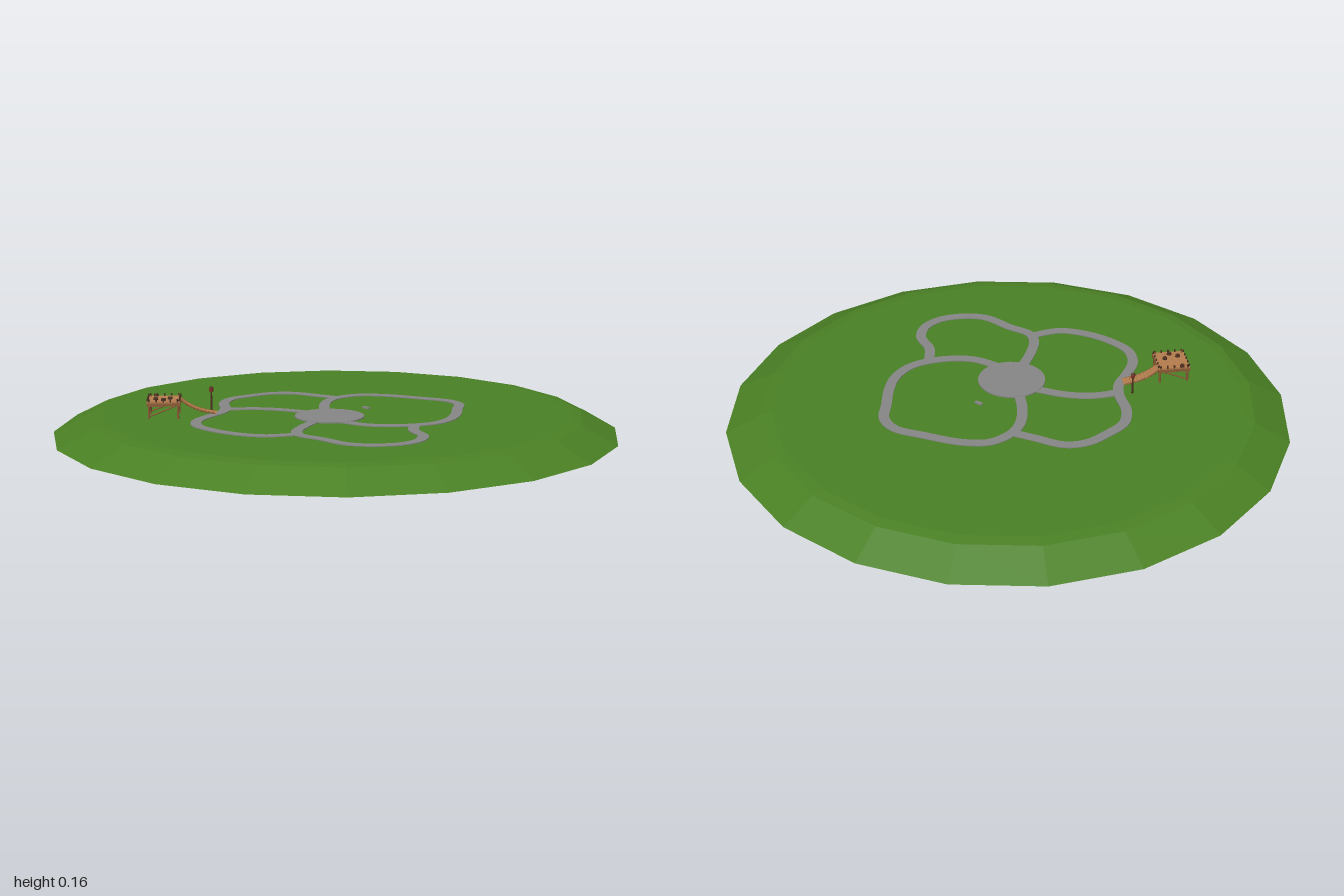
import * as THREE from 'three';

const mat = (name, color) => {
  const m = new THREE.MeshStandardMaterial({ color });
  m.name = name;
  return m;
};

export function createModel() {
  const model = new THREE.Group();
  model.name = 'parkIsland';

  const grass = mat('grass', 0x4a8024);
  grass.side = THREE.DoubleSide;
  grass.flatShading = true;
  const stone = mat('stone', 0x858585);
  const plank = mat('plank', 0xb47c4c);
  const timber = mat('timber', 0x8a5a34);
  const darkWood = mat('darkWood', 0x4c3020);
  const red = mat('redPaint', 0x7a3024);

  const add = (parent, name, geometry, material, x = 0, y = 0, z = 0) => {
    const mesh = new THREE.Mesh(geometry, material);
    mesh.name = name;
    mesh.position.set(x, y, z);
    parent.add(mesh);
    return mesh;
  };
  // Straight beam between two points
  const beam = (parent, name, a, b, radius, material) => {
    const from = new THREE.Vector3(...a), to = new THREE.Vector3(...b);
    const dir = to.clone().sub(from);
    const mesh = add(parent, name, new THREE.CylinderGeometry(radius, radius, dir.length(), 6), material);
    mesh.position.copy(from).add(to).multiplyScalar(0.5);
    mesh.quaternion.setFromUnitVectors(new THREE.Vector3(0, 1, 0), dir.normalize());
    return mesh;
  };

  // Low twenty-sided mound, open underneath
  const apothem = Math.cos(Math.PI / 20);
  const profile = [[1, 0], [0.875, 0.064], [0.835, 0.0705], [0, 0.0705]]
    .map(([r, y]) => new THREE.Vector2(r / apothem, y));
  add(model, 'grassMound', new THREE.LatheGeometry(profile, 20, Math.PI / 20), grass);

  // Round plaza, its slab reaching just below the turf
  add(model, 'plaza', new THREE.CylinderGeometry(0.123, 0.123, 0.008, 32), stone, 0.027, 0.0712, 0.112);

  // Winding paths: centre lines as x, z pairs
  const paths = {
    backRightPath: [[-0.03, 0.03], [-0.075, -0.06], [-0.1, -0.15], [-0.095, -0.22], [-0.045, -0.3], [0.045, -0.335],
      [0.19, -0.34], [0.3, -0.335], [0.36, -0.29], [0.39, -0.2], [0.422, -0.1], [0.433, -0.01], [0.41, 0.075],
      [0.35, 0.14], [0.27, 0.185], [0.2, 0.2], [0.11, 0.185]],
    leftPath: [[-0.095, -0.22], [-0.18, -0.225], [-0.29, -0.23], [-0.36, -0.19], [-0.41, -0.11], [-0.443, -0.03],
      [-0.425, 0.06], [-0.375, 0.14], [-0.352, 0.21], [-0.358, 0.3], [-0.355, 0.38], [-0.315, 0.455],
      [-0.235, 0.5], [-0.13, 0.523], [-0.03, 0.513], [0.03, 0.472], [0.06, 0.44]],
    middlePath: [[-0.07, 0.08], [-0.18, 0.08], [-0.27, 0.1], [-0.34, 0.14], [-0.372, 0.17]],
    frontPath: [[0.021, 0.21], [0.025, 0.32], [0.04, 0.4], [0.075, 0.45], [0.165, 0.473], [0.275, 0.51],
      [0.355, 0.495], [0.435, 0.44], [0.47, 0.365], [0.455, 0.285], [0.395, 0.22], [0.36, 0.13]],
  };
  for (const [name, pts] of Object.entries(paths)) {
    const curve = new THREE.CatmullRomCurve3(pts.map(([x, z]) => new THREE.Vector3(x, 0, z)));
    const left = [], right = [], n = pts.length * 4;
    for (let i = 0; i <= n; i++) {
      const p = curve.getPointAt(i / n), t = curve.getTangentAt(i / n).multiplyScalar(0.019);
      left.push(new THREE.Vector2(p.x + t.z, -(p.z - t.x)));
      right.unshift(new THREE.Vector2(p.x - t.z, -(p.z + t.x)));
    }
    const geo = new THREE.ExtrudeGeometry(new THREE.Shape([...left, ...right]), { depth: 0.003, bevelEnabled: false });
    geo.rotateX(-Math.PI / 2);
    add(model, name, geo, stone, 0, 0.0712, 0);
  }

  // Timber lookout platform
  const lookout = new THREE.Group();
  lookout.name = 'lookout';
  lookout.position.set(-0.508, 0, 0.348);
  lookout.rotation.y = 0.48;
  model.add(lookout);

  for (let i = 0; i < 6; i++)
    add(lookout, 'deckPlank', new THREE.BoxGeometry(0.116, 0.006, 0.0186), plank, 0, 0.13, -0.048 + i * 0.0192);
  for (const s of [-1, 1]) {
    add(lookout, 'sideBeam', new THREE.BoxGeometry(0.118, 0.012, 0.006), timber, 0, 0.121, s * 0.055);
    add(lookout, 'endBeam', new THREE.BoxGeometry(0.006, 0.012, 0.118), timber, s * 0.055, 0.121, 0);
    // Legs run into the ground, with diagonal braces
    for (const t of [-1, 1]) {
      beam(lookout, 'leg', [s * 0.052, 0.04, t * 0.052], [s * 0.05, 0.137, t * 0.05], 0.0042, timber);
      beam(lookout, 'brace', [s * 0.05, 0.08, t * 0.05], [s * 0.05, 0.12, t * 0.012], 0.0025, timber);
    }
    beam(lookout, 'crossBrace', [-0.05, 0.078, s * 0.05], [0.05, 0.118, s * 0.05], 0.0025, timber);
    // Short pegs along the deck edges
    for (let i = -2; i <= 2; i++) {
      add(lookout, 'edgePeg', new THREE.CylinderGeometry(0.003, 0.003, 0.012, 6), darkWood, i * 0.025, 0.136, s * 0.056);
      add(lookout, 'edgePeg', new THREE.CylinderGeometry(0.003, 0.003, 0.012, 6), darkWood, s * 0.056, 0.136, i * 0.025);
    }
  }
  for (const [x, z] of [[-0.03, -0.052], [0.022, 0.008], [-0.028, 0.02], [0, 0.038]])
    add(lookout, 'stump', new THREE.CylinderGeometry(0.008, 0.009, 0.008, 8), darkWood, x, 0.137, z);

  // Sagging plank ramp down to the path
  const rampCurve = new THREE.QuadraticBezierCurve3(
    new THREE.Vector3(0.055, 0.128, -0.034), new THREE.Vector3(0.1, 0.085, -0.034), new THREE.Vector3(0.178, 0.076, -0.034));
  const steps = 10;
  for (let i = 0; i <= steps; i++) {
    const p = rampCurve.getPointAt(i / steps), t = rampCurve.getTangentAt(i / steps);
    const tread = add(lookout, 'rampPlank', new THREE.BoxGeometry(0.0125, 0.004, 0.044), plank, p.x, p.y, p.z);
    tread.rotation.z = Math.atan2(t.y, t.x);
  }
  for (const s of [-1, 1])
    add(lookout, 'rampRail', new THREE.TubeGeometry(rampCurve, 12, 0.003, 6), timber, 0, 0, s * 0.02);

  // Lamp post beside the ramp
  add(model, 'lampPost', new THREE.CylinderGeometry(0.003, 0.004, 0.075, 6), darkWood, -0.413, 0.106, 0.176);
  add(model, 'lampHead', new THREE.BoxGeometry(0.013, 0.014, 0.013), red, -0.413, 0.144, 0.176);
  add(model, 'lampCap', new THREE.ConeGeometry(0.009, 0.007, 6), darkWood, -0.413, 0.154, 0.176);

  // Small flat stone in the lawn
  const slab = add(model, 'lawnStone', new THREE.BoxGeometry(0.03, 0.007, 0.012), stone, 0.083, 0.073, -0.08);
  slab.rotation.y = -0.3;

  return model;
}
